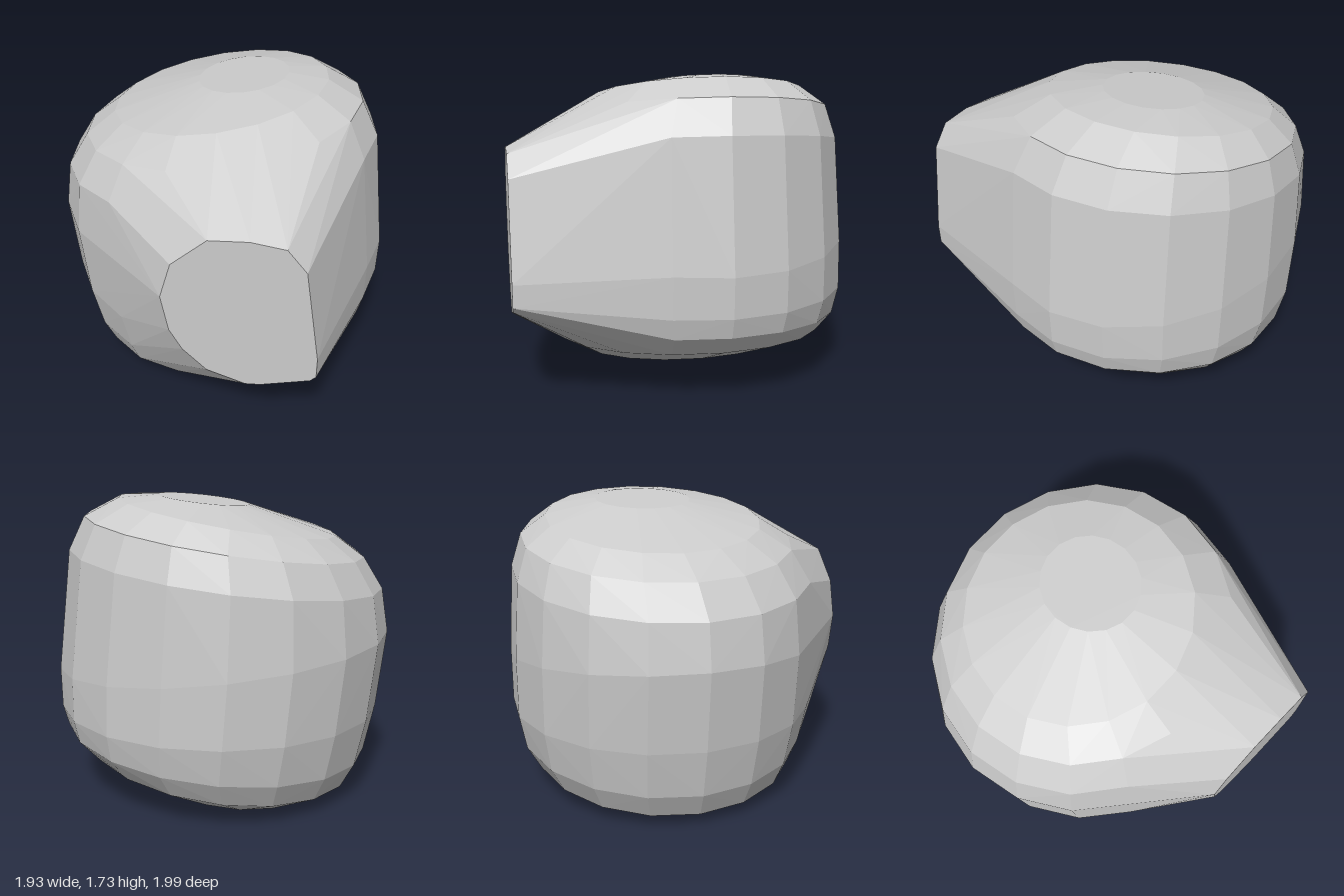
import * as THREE from 'three';
import { ConvexGeometry } from 'three/addons/geometries/ConvexGeometry.js';

// Tilted elliptical ring: left point, right point, back and front reach.
function ring([xl, yl, xr, yr, zb, zf], segments = 18) {
  const points = [];
  for (let i = 0; i < segments; i++) {
    const a = (i / segments) * Math.PI * 2;
    const c = Math.cos(a), s = Math.sin(a);
    points.push(new THREE.Vector3(
      (xl + xr) / 2 + c * (xr - xl) / 2,
      (yl + yr) / 2 + c * (yr - yl) / 2,
      (zb + zf) / 2 + s * (zf - zb) / 2
    ));
  }
  return points;
}

export function createModel() {
  const group = new THREE.Group();
  group.name = 'roundedStone';

  // Rounded, tilted drum from bottom to top
  const rings = [
    [-0.52, 0.0, 0.05, 0.04, -0.30, 0.20],
    [-0.63, 0.015, 0.42, 0.10, -0.71, 0.56],
    [-0.78, 0.07, 0.81, 0.27, -0.88, 0.70],
    [-0.86, 0.22, 0.93, 0.39, -0.96, 0.76],
    [-0.92, 0.50, 0.96, 0.50, -1.0, 0.80],
    [-0.97, 0.95, 0.965, 0.72, -1.0, 0.80],
    [-0.93, 1.20, 0.88, 1.43, -0.97, 0.77],
    [-0.82, 1.38, 0.78, 1.62, -0.91, 0.66],
    [-0.66, 1.50, 0.58, 1.72, -0.77, 0.47],
    [-0.17, 1.67, 0.35, 1.73, -0.46, 0.10],
  ];

  // Flat cut face at the front
  const nose = [
    [-0.11, 0.95], [-0.05, 1.16], [0.14, 1.33], [0.35, 1.35], [0.53, 1.33],
    [0.63, 1.21], [0.71, 0.68], [0.71, 0.56], [0.68, 0.53], [0.42, 0.45],
    [0.34, 0.44], [0.13, 0.50], [0.0, 0.62], [-0.07, 0.74],
  ].map(([x, y]) => new THREE.Vector3(x, y, 1));

  // One faceted skin stretched over the drum and the cut face
  const geometry = new ConvexGeometry([...rings.flatMap((r) => ring(r)), ...nose]);
  const body = new THREE.Mesh(
    geometry,
    new THREE.MeshStandardMaterial({ color: 0xcccccc, flatShading: true })
  );
  body.name = 'body';
  group.add(body);
  return group;
}
